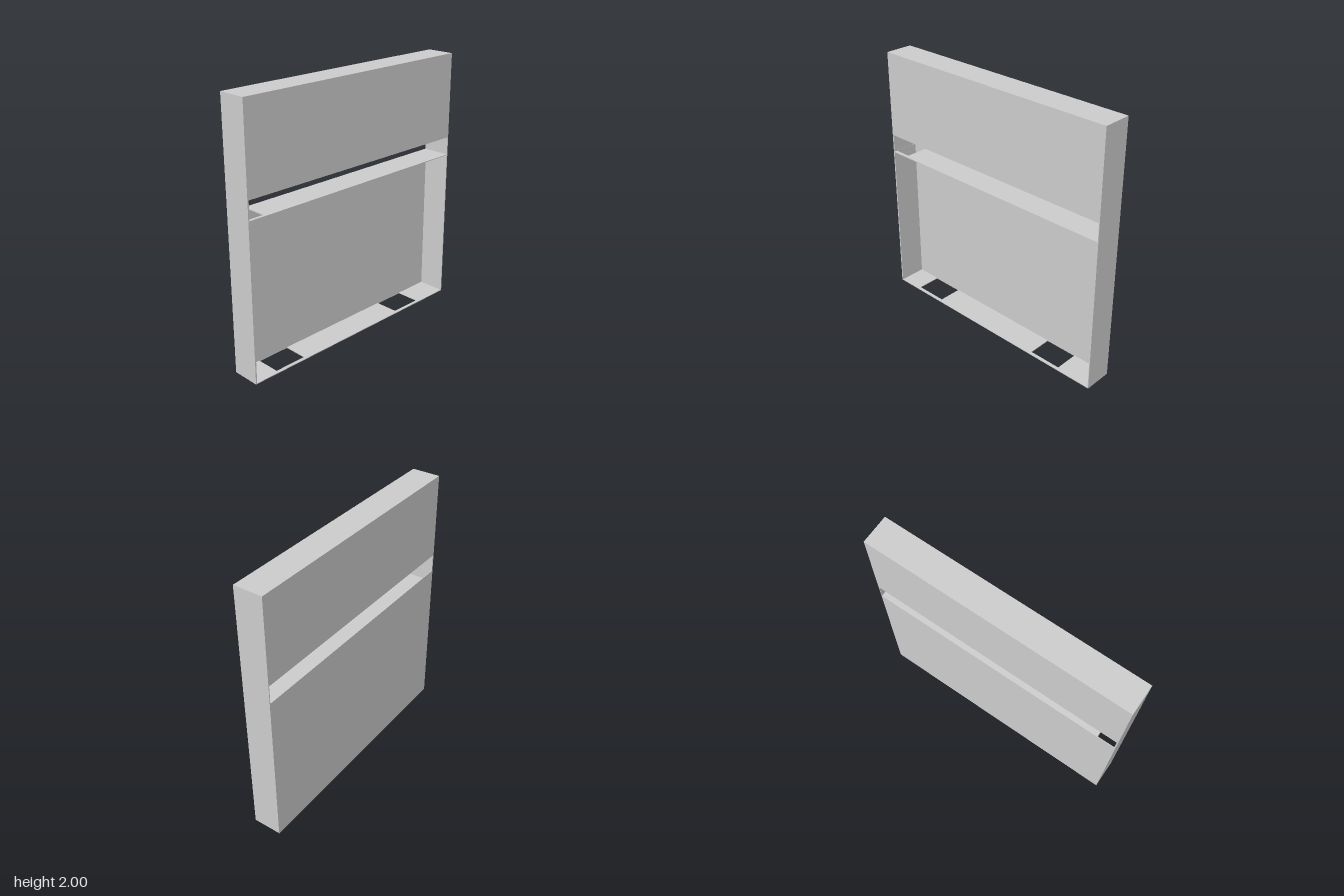
import * as THREE from 'three';

const W = 2, D = 0.22, T = 0.006;        // overall width, depth, sheet thickness
const SHELF = 1.2, SLOT_TOP = 1.34, H = 2;
const X0 = -W / 2 + 0.01, X1 = W / 2 - T; // inner faces of the side walls

export function createModel() {
  const group = new THREE.Group();
  const mat = new THREE.MeshStandardMaterial({ color: 0xcccccc, flatShading: true });

  const add = (name, geometry) => {
    const mesh = new THREE.Mesh(geometry, mat);
    mesh.name = name;
    group.add(mesh);
  };

  // Box given by its minimum and maximum corners
  const box = (name, x0, x1, y0, y1, z0, z1) => add(name,
    new THREE.BoxGeometry(x1 - x0, y1 - y0, z1 - z0)
      .translate((x0 + x1) / 2, (y0 + y1) / 2, (z0 + z1) / 2));

  // Horizontal sheet with its top at y, cut by openings over the given x ranges
  const sheet = (name, y, openings) => {
    const shape = new THREE.Shape([
      new THREE.Vector2(X0, -D / 2), new THREE.Vector2(X1, -D / 2),
      new THREE.Vector2(X1, D / 2), new THREE.Vector2(X0, D / 2),
    ]);
    for (const [a, b] of openings) {
      const back = -D / 2 + T, front = 0.085;
      shape.holes.push(new THREE.Path([
        new THREE.Vector2(a, back), new THREE.Vector2(a, front),
        new THREE.Vector2(b, front), new THREE.Vector2(b, back),
      ]));
    }
    const geo = new THREE.ExtrudeGeometry(shape, { depth: T, bevelEnabled: false });
    add(name, geo.rotateX(Math.PI / 2).translate(0, y, 0));
  };

  // Closed upper box
  box('upperBox', -W / 2, W / 2, SLOT_TOP, H, -D / 2, D / 2);

  // Side walls below it
  box('rightWall', -W / 2, X0, 0, SLOT_TOP, -D / 2, D / 2);
  box('leftWall', X1, W / 2, 0, SLOT_TOP, -D / 2, D / 2);

  // Back of the open lower compartment
  box('backPanel', X0, X1, T, SHELF - T, -D / 2, -D / 2 + T);

  // Shelf under the slot with one end opening, floor with two openings
  sheet('shelf', SHELF, [[X0 + 0.002, -0.857]]);
  sheet('floor', T, [[-0.795, -0.535], [0.445, 0.705]]);

  return group;
}
